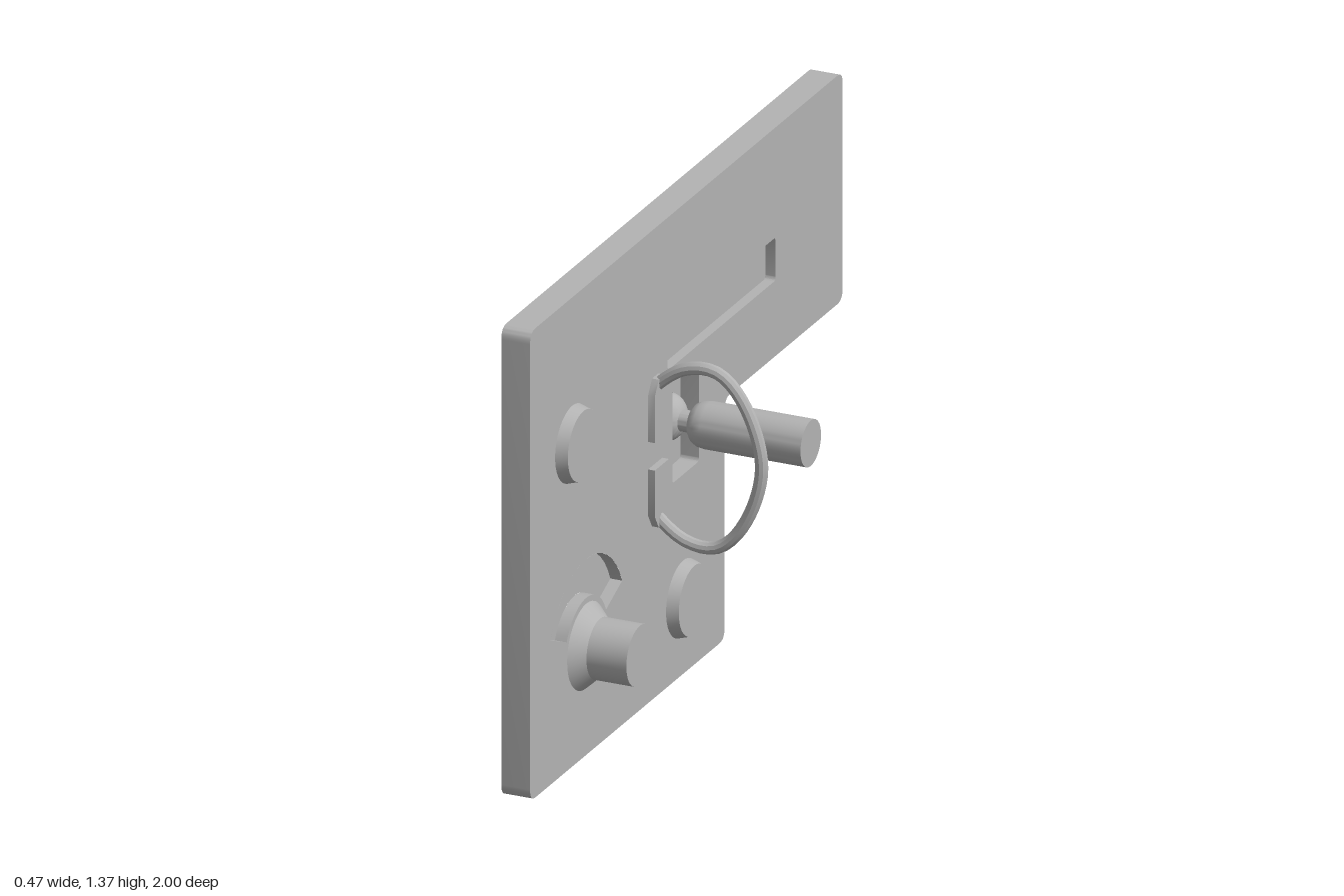
import * as THREE from 'three';
import { toCreasedNormals } from 'three/addons/utils/BufferGeometryUtils.js';

const FACE = -0.14, BACK = -0.225; // panel face and open rim, along x

export function createModel() {
  const model = new THREE.Group();
  const grey = new THREE.MeshStandardMaterial({ color: 0xb3b3b3, side: THREE.DoubleSide });
  grey.name = 'grey';

  const add = (name, geometry, parent = model) => {
    const mesh = new THREE.Mesh(toCreasedNormals(geometry, 0.6), grey);
    mesh.name = name;
    parent.add(mesh);
    return mesh;
  };

  // Outlines are drawn in (-z, y) and turned to face +x.
  const turn = (g, x) => g.rotateY(Math.PI / 2).translate(x, 0, 0);

  // Polygon with every corner rounded by r
  const rounded = (corners, r) => {
    const p = corners.map(c => new THREE.Vector2(...c));
    const s = new THREE.Shape();
    p.forEach((c, i) => {
      const a = p[(i + p.length - 1) % p.length], b = p[(i + 1) % p.length];
      const from = a.clone().sub(c).setLength(r).add(c);
      const to = b.clone().sub(c).setLength(r).add(c);
      if (i) s.lineTo(from.x, from.y); else s.moveTo(from.x, from.y);
      s.quadraticCurveTo(c.x, c.y, to.x, to.y);
    });
    s.closePath();
    return s;
  };
  const rect = (u0, u1, y0, y1, r) => rounded([[u0, y0], [u1, y0], [u1, y1], [u0, y1]], r);

  // Thin wall following an outline between two x positions
  const wall = (shape, x0, x1) => {
    const pts = shape.getPoints(8), pos = [], index = [];
    pts.forEach(p => pos.push(x0, p.y, -p.x, x1, p.y, -p.x));
    for (let i = 0; i < pts.length; i++) {
      const a = 2 * i, b = 2 * ((i + 1) % pts.length);
      index.push(a, b, b + 1, a, b + 1, a + 1);
    }
    const g = new THREE.BufferGeometry();
    g.setAttribute('position', new THREE.Float32BufferAttribute(pos, 3));
    g.setIndex(index);
    return g;
  };

  // Turned part with its axis along x; profile is [radius, x]
  const turned = (name, profile, y, z, segments = 40) => add(name,
    new THREE.LatheGeometry(profile.map(p => new THREE.Vector2(...p)), segments)
      .rotateZ(-Math.PI / 2).translate(0, y, z));

  // Recess outlines
  const slot = rect(-0.12, 0.57, 0.92, 1.045, 0.012);
  const leverWell = rect(-0.09, 0.08, 0.58, 0.87, 0.012);
  const dialArc = new THREE.Shape();
  const sweep = 0.41;
  dialArc.absarc(-0.64, 0.32, 0.25, sweep, Math.PI - sweep, false);
  dialArc.absarc(-0.64, 0.32, 0.137, Math.PI - sweep, sweep, true);
  dialArc.closePath();

  // L-shaped panel: pierced face plus a rim open at the back
  const outline = rounded([[-1, 0], [0.245, 0], [0.245, 0.7], [1, 0.7], [1, 1.365], [-1, 1.365]], 0.035);
  add('panelRim', wall(outline, BACK, FACE));
  outline.holes.push(slot, leverWell, dialArc);
  add('panelFace', turn(new THREE.ShapeGeometry(outline, 16), FACE));

  // Sunken trays
  const socketHole = new THREE.Path().absarc(0, 0.73, 0.068, 0, Math.PI * 2, true);
  const recess = (name, shape, depth, hole) => {
    const group = new THREE.Group();
    group.name = name;
    model.add(group);
    add(name + 'Wall', wall(shape, FACE - depth, FACE), group);
    const floor = new THREE.Shape(shape.getPoints(16));
    if (hole) floor.holes.push(hole);
    add(name + 'Floor', turn(new THREE.ShapeGeometry(floor, 16), FACE - depth), group);
  };
  recess('labelSlot', slot, 0.03);
  recess('leverWell', leverWell, 0.055, socketHole);
  recess('dialArc', dialArc, 0.035);

  // Socket collar behind the lever with a domed seat
  turned('socketCollar', [[0.068, -0.235], [0.068, -0.195]], 0.73, 0);
  const dome = [];
  for (let i = 0; i <= 8; i++) {
    const a = i / 8 * Math.PI / 2;
    dome.push([0.068 * Math.cos(a), -0.2 + 0.058 * Math.sin(a)]);
  }
  turned('socketDome', dome, 0.73, 0);

  // Lever grip on its narrow neck
  turned('lever', [[0.03, -0.16], [0.03, -0.12], [0.042, -0.118], [0.055, -0.108],
    [0.063, -0.092], [0.066, -0.07], [0.066, 0.23], [0, 0.23]], 0.73, 0.005);

  // Dial knob with flared skirt
  turned('dialKnob', [[0.123, FACE], [0.086, -0.1], [0.086, 0.018], [0, 0.018]], 0.317, 0.64);

  // Round buttons
  for (const [y, z] of [[0.94, 0.73], [0.22, 0.02]])
    turned('roundButton', [[0.11, FACE], [0.1, -0.107], [0, -0.107]], y, z);

  // Mirrored mounting pads for the pull handle
  for (const s of [1, -1]) {
    const pad = new THREE.Shape([[0.045, 0.04], [0.045, 0.175], [0.02, 0.215], [-0.02, 0.215],
      [-0.045, 0.175], [-0.045, 0.04]].map(([u, y]) => new THREE.Vector2(u - 0.2, 0.72 + s * y)));
    add('handlePad', turn(new THREE.ExtrudeGeometry(pad, { depth: 0.02, bevelEnabled: false }), FACE));
  }

  // Pull handle: a rounded loop standing out from the pads
  const half = [[-0.135, 0.19], [-0.105, 0.217], [-0.06, 0.246], [0, 0.26], [0.05, 0.25],
    [0.1, 0.205], [0.15, 0.11]];
  const path = [...half, [0.172, 0], ...half.slice().reverse().map(([x, y]) => [x, -y])]
    .map(([x, y]) => new THREE.Vector3(x, 0.72 + y, 0.197 - 0.02 * x));
  add('pullHandle', new THREE.TubeGeometry(new THREE.CatmullRomCurve3(path), 40, 0.018, 10));

  return model;
}
